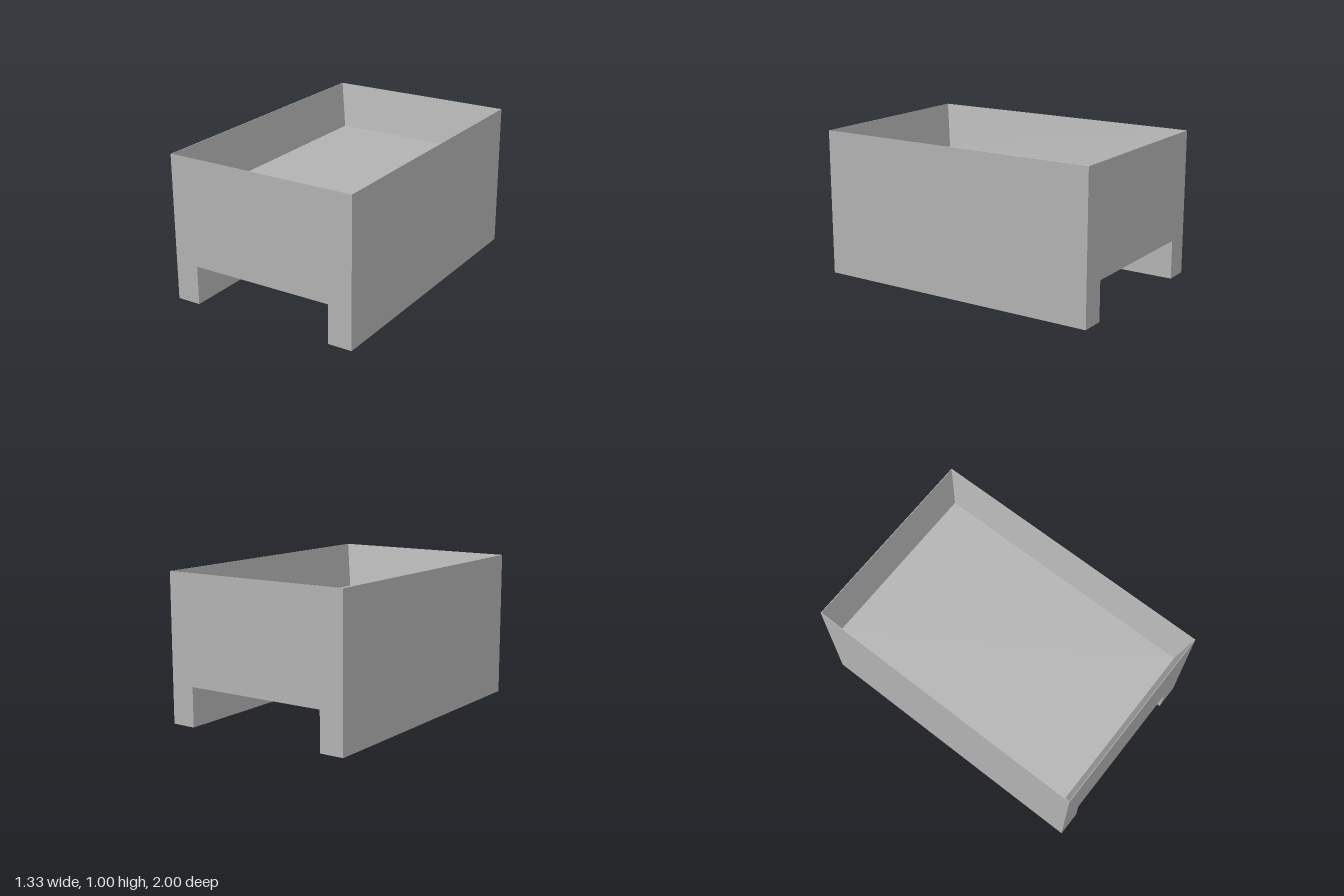
import * as THREE from 'three';

const W = 0.667, D = 1, H = 1;            // half width, half depth, height
const GAP_X = 0.5, GAP_Y = 0.267;         // channel between the two runners
const RIM = 0.004, FLOOR_Y = 0.683;       // thin rim, tray floor height
const FLOOR_X = 0.602, FLOOR_Z = 0.936;   // tray floor half sizes

// Outer body: channel profile swept along z, with its top left open
function bodyGeometry() {
  const profile = new THREE.Shape([
    [-W, 0], [-GAP_X, 0], [-GAP_X, GAP_Y], [GAP_X, GAP_Y],
    [GAP_X, 0], [W, 0], [W, H], [-W, H],
  ].map(([x, y]) => new THREE.Vector2(x, y)));
  const solid = new THREE.ExtrudeGeometry(profile, { depth: 2 * D, bevelEnabled: false });
  solid.translate(0, 0, -D);
  const p = solid.attributes.position;
  const kept = [];
  for (let i = 0; i < p.count; i += 3) {
    const corners = [i, i + 1, i + 2];
    if (corners.every((k) => p.getY(k) > H - 1e-4)) continue;
    for (const k of corners) kept.push(new THREE.Vector3().fromBufferAttribute(p, k));
  }
  return flatGeometry(kept);
}

function flatGeometry(points) {
  const geometry = new THREE.BufferGeometry().setFromPoints(points);
  geometry.computeVertexNormals();
  return geometry;
}

// Rectangle of corners, counter-clockwise seen from above
function ring(x, y, z) {
  return [[-x, -z], [-x, z], [x, z], [x, -z]].map(([a, b]) => new THREE.Vector3(a, y, b));
}

// Faces running between two rings
function band(a, b) {
  const points = [];
  for (let i = 0; i < 4; i++) {
    const j = (i + 1) % 4;
    points.push(a[i], a[j], b[j], a[i], b[j], b[i]);
  }
  return points;
}

export function createModel() {
  const group = new THREE.Group();
  group.name = 'trayBox';
  const grey = new THREE.MeshStandardMaterial({ color: 0xb2b2b2 });
  grey.name = 'grey';
  const add = (name, geometry) => {
    const mesh = new THREE.Mesh(geometry, grey);
    mesh.name = name;
    group.add(mesh);
  };

  const outer = ring(W, H, D);
  const rim = ring(W - RIM, H, D - RIM);
  const floor = ring(FLOOR_X, FLOOR_Y, FLOOR_Z);

  add('body', bodyGeometry());
  add('rim', flatGeometry(band(outer, rim)));
  // Inner walls slope inward down to the floor
  add('innerWalls', flatGeometry(band(rim, floor)));
  add('trayFloor', flatGeometry([0, 1, 2, 0, 2, 3].map((i) => floor[i])));
  return group;
}
